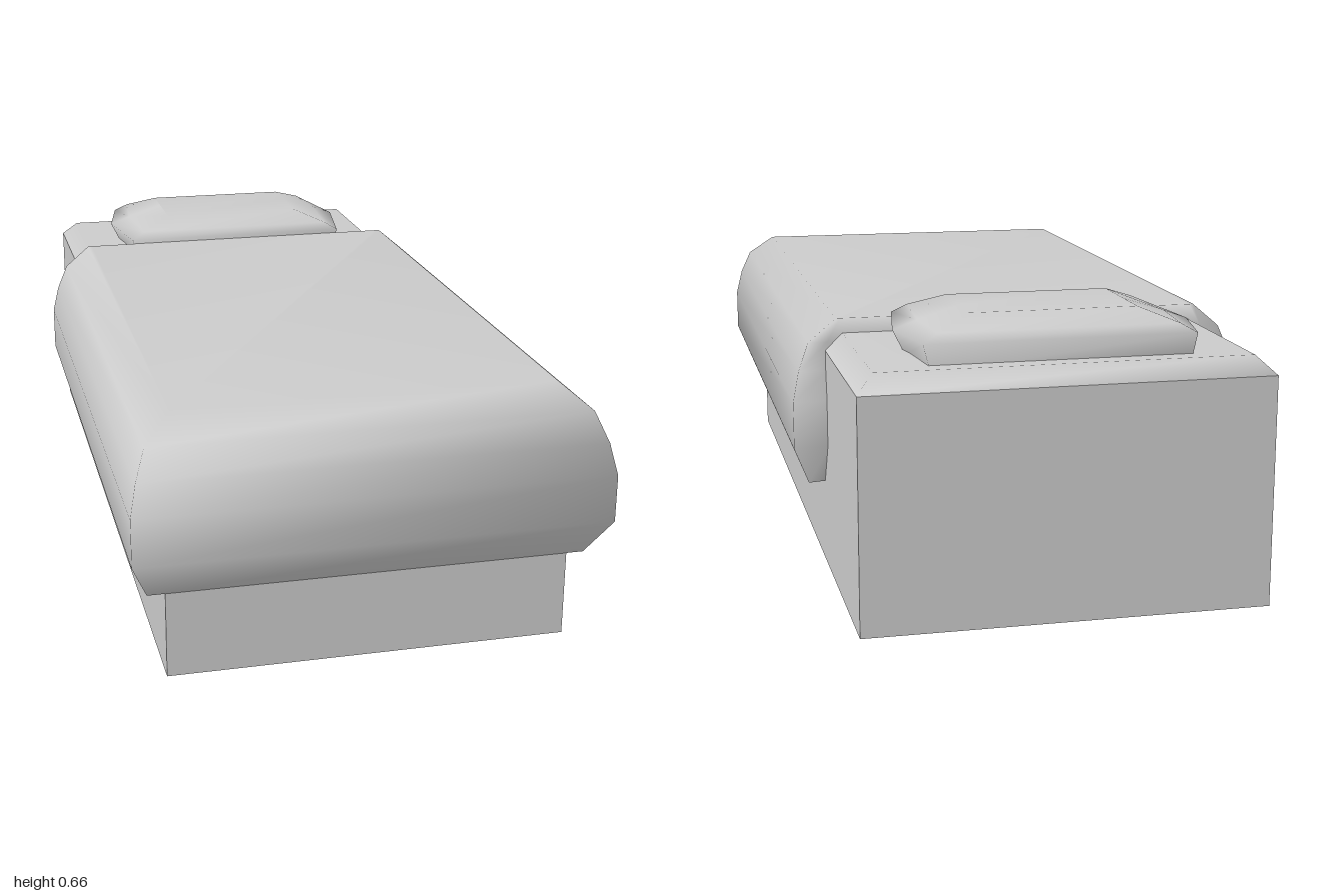
import * as THREE from 'three';

const grey = () => new THREE.MeshStandardMaterial({ color: 0xcccccc, side: THREE.DoubleSide });

// Skin a stack of closed rings (bottom to top, each running front, +x, back, -x) with smooth normals
function loft(name, rings, closeTop = true) {
  const n = rings[0].length, index = [];
  for (let r = 0; r < rings.length - 1; r++) {
    for (let i = 0; i < n; i++) {
      const a = r * n + i, b = r * n + (i + 1) % n;
      index.push(a, b, b + n, a, b + n, a + n);
    }
  }
  const top = (rings.length - 1) * n;
  if (closeTop) for (let i = 1; i < n - 1; i++) index.push(top, top + i, top + i + 1);
  const geo = new THREE.BufferGeometry();
  geo.setAttribute('position', new THREE.Float32BufferAttribute(rings.flat(2), 3));
  geo.setIndex(index);
  geo.computeVertexNormals();
  const mesh = new THREE.Mesh(geo, grey());
  mesh.name = name;
  return mesh;
}

const rect = (x, y, front, back) => [[-x, y, front], [x, y, front], [x, y, back], [-x, y, back]];

export function createModel() {
  const bed = new THREE.Group();
  bed.name = 'bed';

  // Solid base with crisp edges
  const base = new THREE.Mesh(new THREE.BoxGeometry(0.92, 0.525, 1.93), grey());
  base.name = 'base';
  base.position.set(0, 0.2625, -0.035);
  bed.add(base);

  // Softly bevelled mattress top
  bed.add(loft('mattressTop', [
    rect(0.46, 0.525, 0.93, -1),
    rect(0.42, 0.565, 0.89, -0.96),
  ]));

  // Blanket: bulging sides, open underneath, back edge tucked in against the base
  const levels = [ // half width, height, front z, back z
    [0.5, 0.2, 0.93, -0.49],
    [0.54, 0.3, 1, -0.55],
    [0.54, 0.41, 1, -0.55],
    [0.525, 0.48, 0.98, -0.537],
    [0.5, 0.545, 0.945, -0.525],
    [0.435, 0.6, 0.88, -0.525],
  ];
  bed.add(loft('blanket', levels.map(([x, y, front, back]) => {
    const inner = Math.min(0.455, x - 0.01), tuck = y < 0.5 ? back + 0.01 : back;
    return [[-x, y, front], [x, y, front], [x, y, back],
      [inner, y, tuck], [-inner, y, tuck], [-x, y, back]];
  })));

  // Pillow: flat top, sides pinched outward at the middle
  const pillow = [ // corner half width, middle half width, height, front z, back z
    [0.29, 0.31, 0.55, -0.525, -0.92],
    [0.305, 0.34, 0.61, -0.525, -0.915],
    [0.27, 0.285, 0.63, -0.54, -0.9],
    [0.19, 0.19, 0.66, -0.6, -0.84],
  ];
  bed.add(loft('pillow', pillow.map(([x, mid, y, front, back]) => [
    [-x, y, front], [x, y, front], [mid, y, -0.74],
    [x, y, back], [-x, y, back], [-mid, y, -0.74],
  ])));

  return bed;
}
